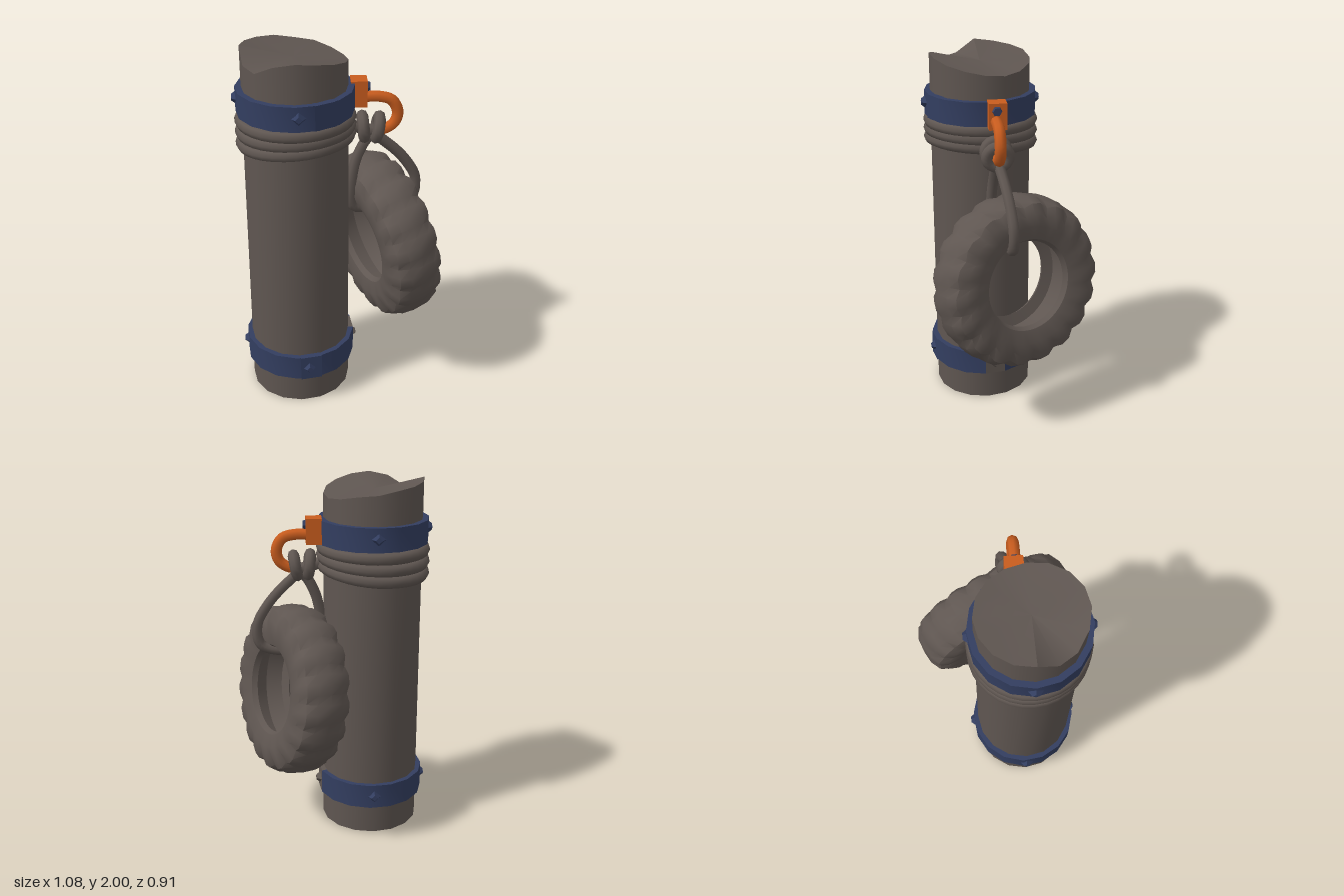
import * as THREE from 'three';
import { toCreasedNormals } from 'three/addons/utils/BufferGeometryUtils.js';

const material = (name, color) => {
  const m = new THREE.MeshStandardMaterial({ color });
  m.name = name;
  return m;
};
const rad = THREE.MathUtils.degToRad;

export function createModel() {
  const grey = material('weathered grey', 0x5f5651);
  const blue = material('painted blue', 0x333e60);
  const orange = material('safety orange', 0xc85c1e);

  const model = new THREE.Group();
  model.name = 'mooringPost';
  const post = new THREE.Group();
  post.name = 'post';
  post.position.set(-0.235, 0, 0.13);
  model.add(post);

  const add = (parent, name, geometry, mat, x = 0, y = 0, z = 0) => {
    const mesh = new THREE.Mesh(geometry, mat);
    mesh.name = name;
    mesh.position.set(x, y, z);
    parent.add(mesh);
    return mesh;
  };
  const rope = (points, radius, closed, segments = 48) => new THREE.TubeGeometry(
    new THREE.CatmullRomCurve3(points.map((p) => new THREE.Vector3(...p)), closed), segments, radius, 8, closed);

  // Trunk with a broken, uneven top rim (heights listed from +x towards +z)
  const rim = [1.92, 1.94, 1.96, 1.98, 1.99, 1.97, 1.92, 1.93, 2, 1.99, 1.98, 1.97, 1.95, 1.94, 1.92, 1.91];
  const trunk = new THREE.CylinderGeometry(0.27, 0.277, 2, 16, 1).translate(0, 1, 0);
  const tp = trunk.attributes.position;
  for (let i = 0; i < tp.count; i++) {
    if (tp.getY(i) < 1) continue;
    const x = tp.getX(i), z = tp.getZ(i);
    const step = Math.round(Math.atan2(z, x) / (Math.PI / 8));
    tp.setY(i, Math.hypot(x, z) < 0.01 ? 1.94 : rim[(step + 16) % 16]);
  }
  add(post, 'trunk', toCreasedNormals(trunk, 0.6), grey);

  // Metal bands, made as arcs so a worn section can differ in colour
  const band = (name, y0, y1, from, sweep, sides, mat, outer = 0.303) => {
    const profile = [[0.268, y0], [outer, y0], [outer, y1], [0.268, y1], [0.268, y0]]
      .map((p) => new THREE.Vector2(...p));
    const g = new THREE.LatheGeometry(profile, sides, rad(from), rad(sweep));
    add(post, name, toCreasedNormals(g, 0.6), mat);
  };
  band('upperBand', 1.66, 1.79, 0, 360, 16, blue);
  band('lowerBand', 0.17, 0.31, 108, 338, 15, blue);
  band('wornBandSection', 0.17, 0.31, 86, 22, 1, grey);
  band('upperBandLap', 1.662, 1.792, 18, 22, 1, blue, 0.308);
  band('lowerBandLap', 0.168, 0.312, 0, 22, 1, blue, 0.308);

  // Diamond-headed studs around the bands
  const studShape = new THREE.CylinderGeometry(0.018, 0.04, 0.028, 4).rotateX(Math.PI / 2).toNonIndexed();
  studShape.computeVertexNormals();
  const stud = (angle, y, mat) => {
    const a = rad(angle);
    const s = add(post, 'stud', studShape, mat, 0.307 * Math.sin(a), y, 0.307 * Math.cos(a));
    s.rotation.y = a;
  };
  [3, 180, 270].forEach((a) => stud(a, 1.73, blue));
  [9, 180, 270].forEach((a) => stud(a, 0.24, blue));
  stud(97, 0.24, grey);

  // Three slightly tilted rope coils
  [[1.625, 0.02, 0.01], [1.57, 0.05, 0.04], [1.515, 0.08, 0.06]].forEach(([y, tiltZ, tiltX]) => {
    const g = new THREE.TorusGeometry(0.278, 0.034, 8, 32).rotateX(Math.PI / 2);
    add(post, 'ropeCoil', g, grey, 0, y, 0).rotation.set(-tiltX, 0, tiltZ);
  });

  // Bracket, its bolt, and the hook
  add(model, 'hookBracket', new THREE.BoxGeometry(0.085, 0.14, 0.095), orange, 0.09, 1.73, 0.08);
  const bolt = new THREE.CylinderGeometry(0.022, 0.028, 0.02, 6).rotateZ(-Math.PI / 2);
  add(model, 'bracketBolt', toCreasedNormals(bolt, 0.5), blue, 0.138, 1.76, 0.085);
  const hookPath = [[0.11, 1.705, 0.09], [0.2, 1.705, 0.09], [0.26, 1.685, 0.09], [0.292, 1.62, 0.09],
    [0.275, 1.56, 0.09], [0.22, 1.525, 0.09], [0.17, 1.53, 0.09]];
  add(model, 'hook', rope(hookPath, 0.03, false, 24), orange);

  // Knot of two wraps with a short tie back to the coils
  [[0.115, 1.54, 0.1], [0.19, 1.535, -0.18]].forEach(([x, y, lean]) => {
    const g = new THREE.TorusGeometry(0.057, 0.031, 8, 20).rotateY(Math.PI / 2);
    add(model, 'knotWrap', g, grey, x, y, 0.09).rotation.z = lean;
  });
  add(model, 'knotTie', rope([[0.03, 1.56, 0.1], [0.11, 1.53, 0.09], [0.2, 1.51, 0.09]], 0.032, false, 12), grey);

  // Loop hanging from the knot through the tyre
  const loop = [[0.16, 1.49, 0.09], [0.25, 1.43, 0.07], [0.35, 1.32, 0.05], [0.405, 1.21, 0.04], [0.385, 1.1, 0.04],
    [0.22, 1.06, 0.05], [0.065, 1.08, 0.1], [0.055, 1.23, 0.11], [0.09, 1.39, 0.1]];
  add(model, 'hangingLoop', rope(loop, 0.029, true, 64), grey);

  // Tyre: hollow lathe, with staggered grooves pressed into the shoulders
  const half = [[0.235, 0.1], [0.25, 0.13], [0.32, 0.15], [0.39, 0.147], [0.44, 0.125], [0.467, 0.07]];
  const profile = [
    ...half.map(([r, h]) => [r, -h]), [0.474, 0], ...half.slice().reverse(),
    [0.3, 0.085], [0.33, 0], [0.3, -0.085], half[0].map((v, i) => (i ? -v : v)),
  ].map((p) => new THREE.Vector2(...p));
  const sides = 54;
  const tyre = new THREE.LatheGeometry(profile, sides);
  const p = tyre.attributes.position;
  for (let i = 0; i < p.count; i++) {
    const x = p.getX(i), y = p.getY(i), z = p.getZ(i), r = Math.hypot(x, z);
    if (r < 0.38) continue;
    const step = Math.round((Math.atan2(x, z) / (2 * Math.PI)) * sides) + sides;
    const groove = (step + (y > 0 ? 1 : 0)) % 3 === 0;
    const depth = groove ? (Math.abs(y) > 0.1 ? 0.022 : Math.abs(y) > 0.03 ? 0.016 : 0.004) : 0;
    const k = (r - depth) / r;
    p.setXYZ(i, x * k, y * (groove && Math.abs(y) > 0.1 ? 0.95 : 1), z * k);
  }
  const tyreMesh = add(model, 'tyreFender', toCreasedNormals(tyre, 0.6), grey, 0.225, 0.85, 0);
  tyreMesh.quaternion.setFromUnitVectors(new THREE.Vector3(0, 1, 0), new THREE.Vector3(0.9, 0.14, -0.41).normalize());

  return model;
}
